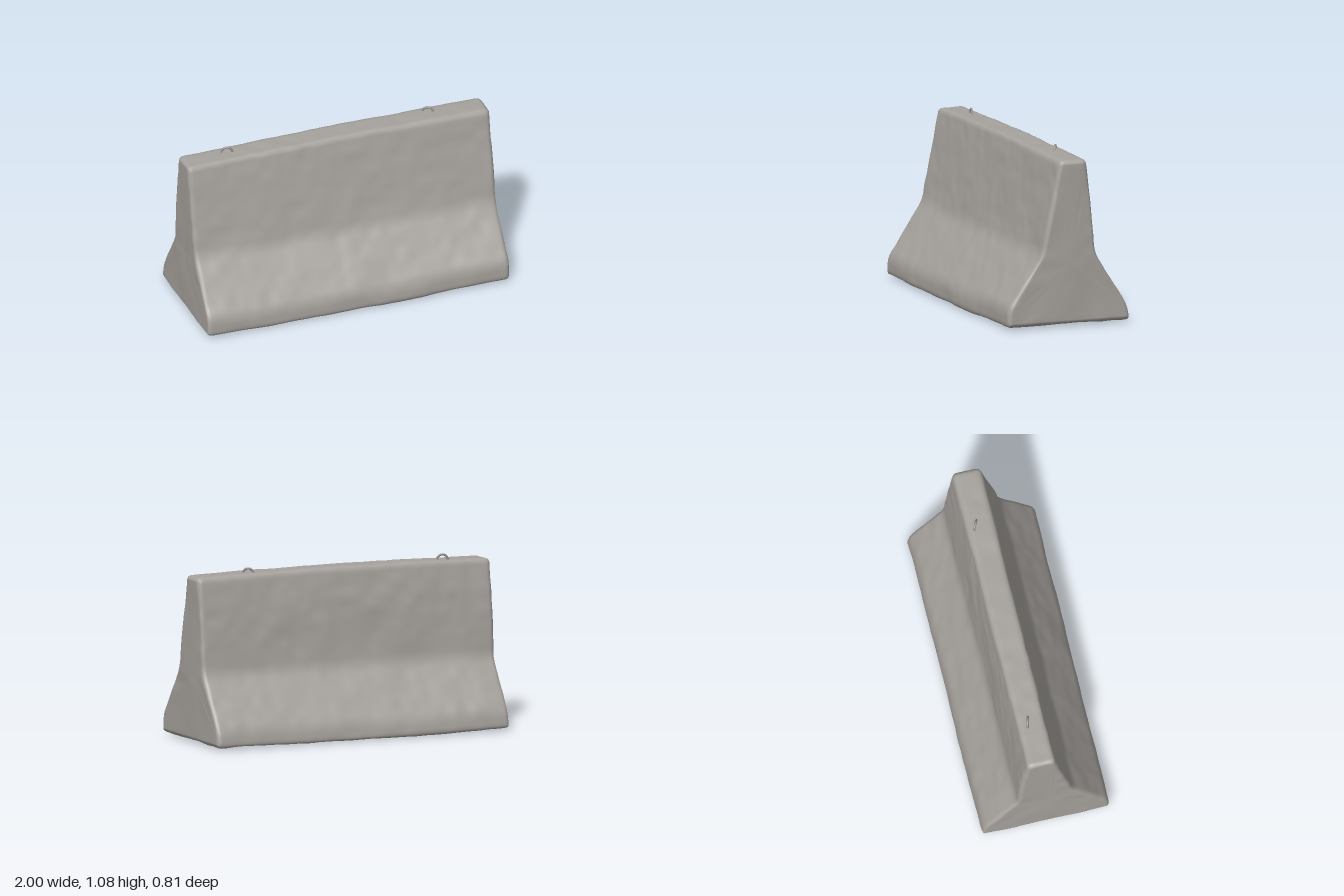
import * as THREE from 'three';

const concrete = new THREE.MeshStandardMaterial({ color: 0xa6a29d });
concrete.name = 'concrete';
const steel = new THREE.MeshStandardMaterial({ color: 0x96938f });
steel.name = 'steel';

// Barrier cross-section as [z, y, corner radius], running up the front and down the back
const SECTION = [
  [0.405, 0.018, 0.022], [0.402, 0.13, 0.05], [0.178, 0.455, 0.05], [0.058, 1.036, 0.022],
  [-0.113, 1.036, 0.026], [-0.15, 0.8, 0.08], [-0.18, 0.44, 0.05], [-0.39, 0.12, 0.05], [-0.405, 0.018, 0.022],
];

// Evenly spaced outline with rounded corners
function roundedOutline(count) {
  const shape = new THREE.Shape();
  const pts = SECTION.map(([z, y]) => new THREE.Vector2(z, y));
  const n = pts.length;
  for (let i = 0; i < n; i++) {
    const p = pts[i], r = SECTION[i][2];
    const a = pts[(i + n - 1) % n].clone().sub(p).setLength(r).add(p);
    const b = pts[(i + 1) % n].clone().sub(p).setLength(r).add(p);
    if (i === 0) shape.moveTo(a.x, a.y);
    else shape.lineTo(a.x, a.y);
    shape.quadraticCurveTo(p.x, p.y, b.x, b.y);
  }
  shape.closePath();
  return shape.getSpacedPoints(count).slice(0, count);
}

// Seeded smooth 3D noise for the weathered surface
function hash(x, y, z) {
  let h = Math.imul(x, 374761393) ^ Math.imul(y, 668265263) ^ Math.imul(z, 1274126177);
  h = Math.imul(h ^ (h >>> 13), 1103515245);
  return ((h ^ (h >>> 16)) >>> 0) / 2147483648 - 1;
}
function noise(x, y, z) {
  const c = [x, y, z].map(Math.floor);
  const [u, v, w] = [x, y, z].map((q, i) => THREE.MathUtils.smoothstep(q - c[i], 0, 1));
  let sum = 0;
  for (let i = 0; i < 8; i++) {
    const a = i & 1, b = (i >> 1) & 1, d = i >> 2;
    sum += hash(c[0] + a, c[1] + b, c[2] + d) * (a ? u : 1 - u) * (b ? v : 1 - v) * (d ? w : 1 - w);
  }
  return sum;
}

// Rings as [x, inset, scale towards the section centre]: end cap, rounded edge, long body
function bodyRings() {
  const end = [];
  for (const s of [0.02, 0.2, 0.4, 0.6, 0.8, 0.93]) end.push([-0.994, 0.024, s]);
  for (let i = 0; i <= 5; i++) {
    const a = (i / 5) * Math.PI / 2;
    end.push([-0.994 + 0.03 * (1 - Math.cos(a)), 0.024 * (1 - Math.sin(a)), 1]);
  }
  const middle = [];
  for (let i = 1; i < 90; i++) middle.push([-0.964 + (1.928 * i) / 90, 0, 1]);
  return [...end, ...middle, ...end.map(([x, d, s]) => [-x, d, s]).reverse()];
}

function barrierGeometry() {
  const N = 180, outline = roundedOutline(N), rings = bodyRings();
  const centre = new THREE.Vector2(0, 0.4);
  const normals = outline.map((p, i) => {
    const t = outline[(i + 1) % N].clone().sub(outline[(i + N - 1) % N]).normalize();
    return new THREE.Vector2(t.y, -t.x);
  });
  const positions = [], index = [];
  for (const [x, inset, scale] of rings) {
    for (let i = 0; i < N; i++) {
      const p = outline[i].clone().addScaledVector(normals[i], -inset).sub(centre).multiplyScalar(scale).add(centre);
      // Uneven casting, broad dents and fine pitting
      const rough = 0.005 * noise(x * 5, p.y * 5, p.x * 5) + 0.003 * noise(x * 14 + 9, p.y * 14, p.x * 14);
      const onEnd = Math.abs(x) > 0.99;
      const bulge = (p.y / 1.04 - 0.5) * 0.024 * Math.cos(x * Math.PI / 2);
      positions.push(
        x + (onEnd ? Math.sign(x) * rough * 0.8 : 0),
        p.y + bulge + (onEnd ? 0 : normals[i].y * rough),
        p.x + (onEnd ? 0 : normals[i].x * rough),
      );
    }
  }
  const last = rings.length - 1;
  for (let r = 0; r < last; r++) {
    for (let i = 0; i < N; i++) {
      const j = (i + 1) % N, a = r * N + i, b = r * N + j, c = a + N, d = b + N;
      index.push(a, c, b, b, c, d);
    }
  }
  // Close the tiny centre openings of both ends
  for (let i = 1; i < N - 1; i++) {
    index.push(0, i, i + 1);
    index.push(last * N, last * N + i + 1, last * N + i);
  }
  const geometry = new THREE.BufferGeometry();
  geometry.setAttribute('position', new THREE.Float32BufferAttribute(positions, 3));
  geometry.setIndex(index);
  geometry.computeVertexNormals();
  return geometry;
}

// Bent bar lifting eye set in the top
function liftingLoop(x, z, angle) {
  const path = new THREE.CatmullRomCurve3([
    [-0.036, -0.04], [-0.034, 0.005], [-0.022, 0.026], [0, 0.034], [0.022, 0.026], [0.034, 0.005], [0.036, -0.04],
  ].map(([u, v]) => new THREE.Vector3(u, v, 0)));
  const loop = new THREE.Mesh(new THREE.TubeGeometry(path, 28, 0.007, 8), steel);
  loop.name = 'liftingLoop';
  loop.position.set(x, 1.036, z);
  loop.rotation.y = angle;
  return loop;
}

export function createModel() {
  const model = new THREE.Group();
  model.name = 'concreteBarrier';
  const body = new THREE.Mesh(barrierGeometry(), concrete);
  body.name = 'barrierBody';
  model.add(body);
  model.add(liftingLoop(-0.7, -0.045, -0.25), liftingLoop(0.628, -0.057, -0.45));
  return model;
}
